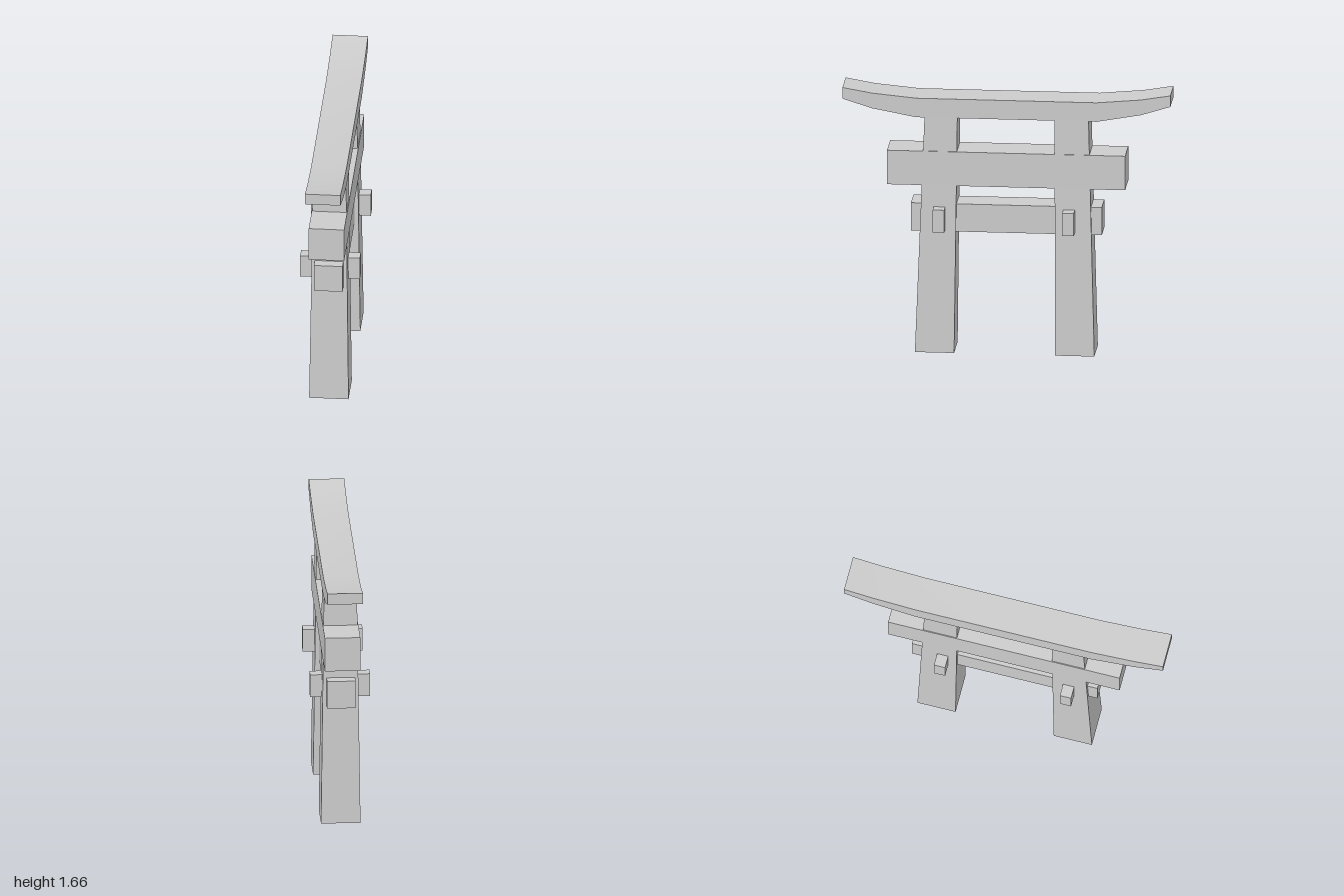
import * as THREE from 'three';
import { toCreasedNormals } from 'three/addons/utils/BufferGeometryUtils.js';

const material = new THREE.MeshStandardMaterial({ color: 0xcccccc });

// Box given by its extents on each axis
function block(name, [x0, x1], [y0, y1], [z0, z1]) {
  const geometry = new THREE.BoxGeometry(x1 - x0, y1 - y0, z1 - z0);
  geometry.translate((x0 + x1) / 2, (y0 + y1) / 2, (z0 + z1) / 2);
  const mesh = new THREE.Mesh(geometry, material);
  mesh.name = name;
  return mesh;
}

// Post that tapers from a bottom z-range to a top z-range
function taperedPost(name, bottomZ, topZ) {
  const height = 1.49;
  const geometry = new THREE.BoxGeometry(2, height, 2).translate(0, height / 2, 0);
  const p = geometry.attributes.position;
  for (let i = 0; i < p.count; i++) {
    const top = p.getY(i) > height / 2;
    p.setX(i, p.getX(i) * (top ? 0.1 : 0.12));
    p.setZ(i, (top ? topZ : bottomZ)[p.getZ(i) > 0 ? 1 : 0]);
  }
  geometry.computeVertexNormals();
  const mesh = new THREE.Mesh(geometry, material);
  mesh.name = name;
  return mesh;
}

// Top lintel: flat in the middle, ends sweeping upward
function curvedLintel() {
  const upper = [[0.55, 1.604], [0.82, 1.629], [1, 1.66]];
  const lower = [[0.55, 1.484], [0.82, 1.533], [1, 1.59]];
  const mirror = (points) => points.map(([z, y]) => [-z, y]);
  const outline = [
    ...mirror(lower).reverse(), ...lower,
    ...upper.slice().reverse(), ...mirror(upper),
  ].map(([z, y]) => new THREE.Vector2(z, y));
  const geometry = new THREE.ExtrudeGeometry(new THREE.Shape(outline), { depth: 0.216, bevelEnabled: false });
  geometry.translate(0, 0, -0.108).rotateY(-Math.PI / 2);
  const mesh = new THREE.Mesh(toCreasedNormals(geometry, 0.5), material);
  mesh.name = 'curvedLintel';
  return mesh;
}

export function createModel() {
  const gate = new THREE.Group();
  gate.name = 'gate';
  gate.add(
    curvedLintel(),
    taperedPost('frontPost', [0.318, 0.557], [0.3, 0.5]),
    taperedPost('backPost', [-0.537, -0.298], [-0.5, -0.293]),
    block('upperBeam', [-0.108, 0.108], [1.055, 1.27], [-0.724, 0.728]),
    block('lowerBeam', [-0.088, 0.086], [0.76, 0.935], [-0.58, 0.584]),
    // Pegs running through the posts
    block('frontPeg', [-0.184, 0.18], [0.777, 0.92], [0.373, 0.443]),
    block('backPeg', [-0.184, 0.18], [0.777, 0.92], [-0.417, -0.347]),
  );
  return gate;
}
